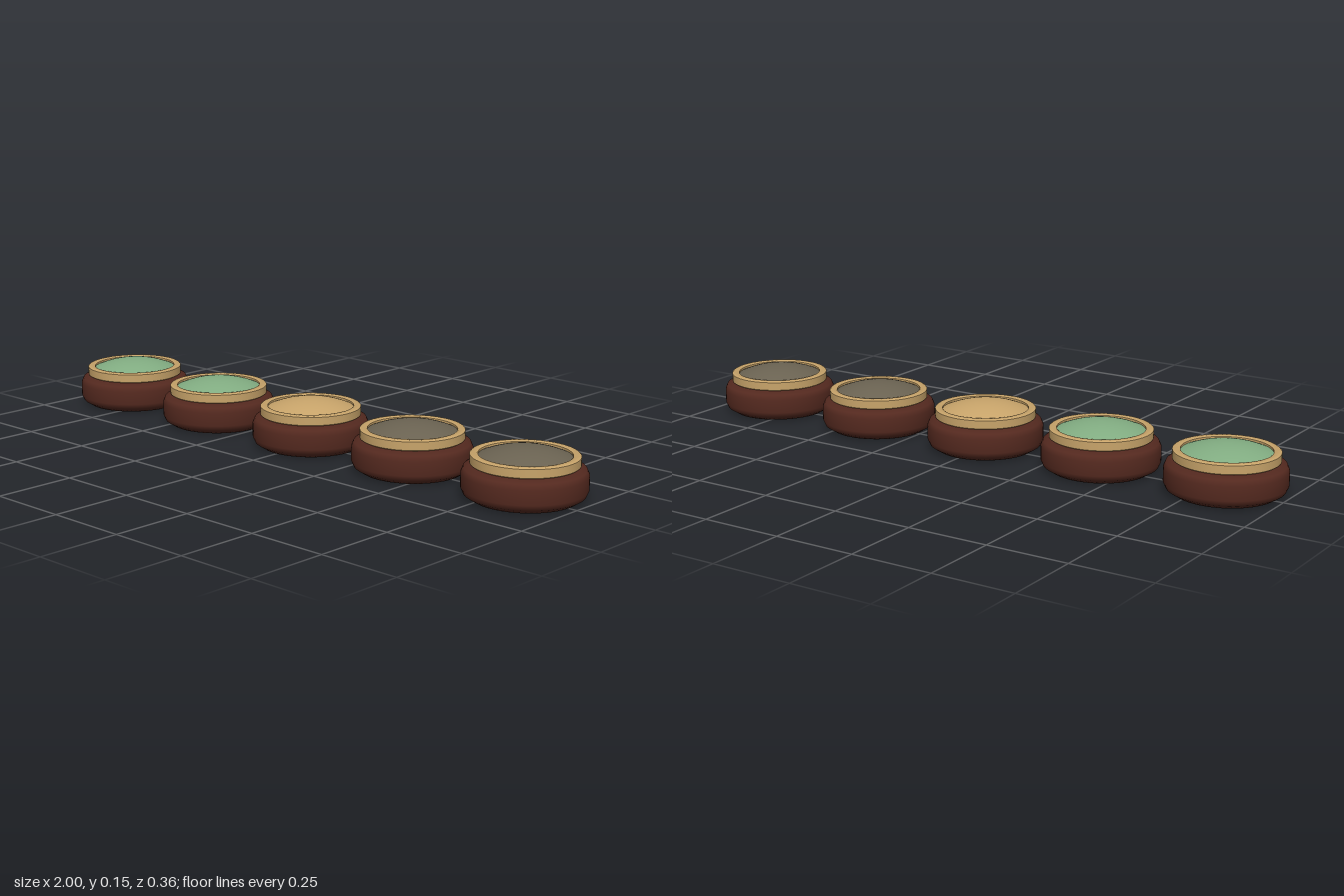
import * as THREE from 'three';
import { toCreasedNormals } from 'three/addons/utils/BufferGeometryUtils.js';

const material = (name, color) => {
  const m = new THREE.MeshStandardMaterial({ color });
  m.name = name;
  return m;
};

// Surface of revolution from [radius, height] pairs, bottom to top
const lathe = (points) =>
  new THREE.LatheGeometry(points.map(([r, y]) => new THREE.Vector2(r, y)), 64);

export function createModel() {
  const wood = material('dark wood', 0x54291f);
  const brass = material('brass', 0xc8a46a);
  const green = material('green', 0x82ad82);
  const grey = material('warm grey', 0x6b6352);

  // Squat base with rounded rims
  const baseGeometry = lathe([
    [0, 0], [0.15, 0], [0.172, 0.014], [0.179, 0.03],
    [0.179, 0.072], [0.172, 0.088], [0.15, 0.098], [0, 0.098],
  ]);

  // Collar with small bevels and an open centre
  const collarGeometry = toCreasedNormals(lathe([
    [0.132, 0.097], [0.151, 0.097], [0.155, 0.1], [0.155, 0.125],
    [0.151, 0.128], [0.135, 0.128], [0.132, 0.126], [0.132, 0.097],
  ]), 0.9);

  // Shallow cap: a slice of a sphere seated inside the collar
  const capRadius = 0.132, rise = 0.028;
  const sphereRadius = (capRadius ** 2 + rise ** 2) / (2 * rise);
  const capGeometry = new THREE.SphereGeometry(
    sphereRadius, 64, 12, 0, Math.PI * 2, 0, Math.asin(capRadius / sphereRadius));
  capGeometry.translate(0, 0.148 - sphereRadius, 0);

  const model = new THREE.Group();
  model.name = 'buttonRow';
  [green, green, brass, grey, grey].forEach((capMaterial, i) => {
    const button = new THREE.Group();
    button.name = `button${i + 1}`;
    button.position.x = (i - 2) * 0.4105;
    const parts = [
      ['base', baseGeometry, wood],
      ['collar', collarGeometry, brass],
      ['cap', capGeometry, capMaterial],
    ];
    for (const [name, geometry, mat] of parts) {
      const mesh = new THREE.Mesh(geometry, mat);
      mesh.name = name;
      button.add(mesh);
    }
    model.add(button);
  });
  return model;
}
